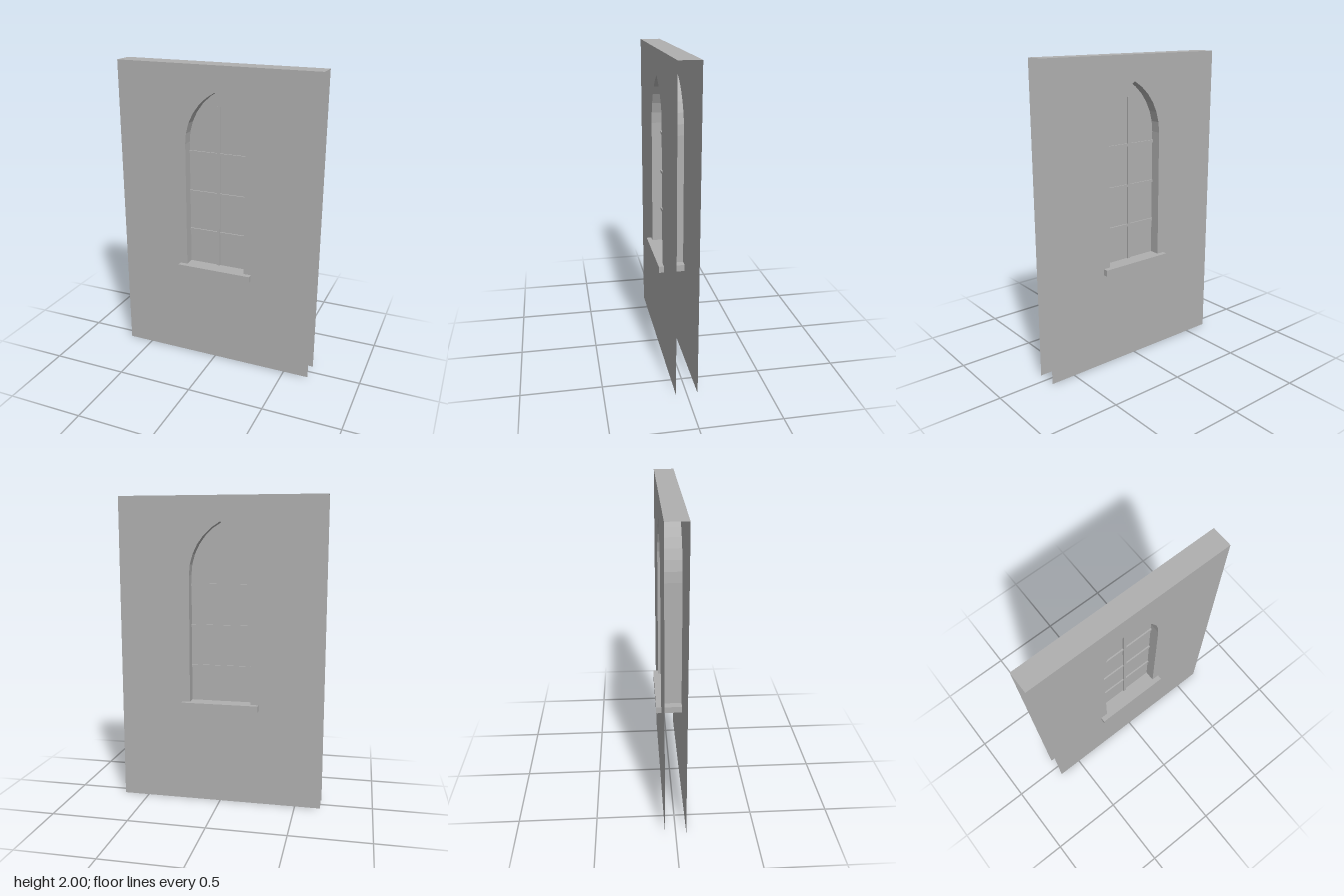
import * as THREE from 'three';

// Main sizes
const W = 0.667, H = 2, D = 0.067;                 // wall half width, height, half depth
const HALF = 0.203, SILL_TOP = 0.67, SPRING = 1.5, APEX = 1.838;

// Outline of the pointed arch: up the right side, over the apex, down the left
function archPoints() {
  const rise = APEX - SPRING;
  const r = (HALF * HALF + rise * rise) / (2 * HALF);
  const sweep = Math.asin(rise / r);
  const steps = 6;
  const right = [new THREE.Vector2(HALF, SILL_TOP)];
  for (let i = 0; i <= steps; i++) {
    const a = (sweep * i) / steps;
    right.push(new THREE.Vector2(HALF - r + r * Math.cos(a), SPRING + r * Math.sin(a)));
  }
  right[right.length - 1].x = 0;
  const left = right.slice(0, -1).reverse().map((p) => new THREE.Vector2(-p.x, p.y));
  return [...right, ...left];
}

// Faceted strip joining the front and back edges of the opening
function revealGeometry(points) {
  const pos = [];
  for (let i = 0; i < points.length - 1; i++) {
    const a = points[i], b = points[i + 1];
    pos.push(a.x, a.y, D, b.x, b.y, -D, a.x, a.y, -D);
    pos.push(a.x, a.y, D, b.x, b.y, D, b.x, b.y, -D);
  }
  const g = new THREE.BufferGeometry();
  g.setAttribute('position', new THREE.Float32BufferAttribute(pos, 3));
  g.computeVertexNormals();
  return g;
}

export function createModel() {
  const model = new THREE.Group();
  model.name = 'archedWindowWall';
  const stone = new THREE.MeshStandardMaterial({ color: 0xb0b0b0, side: THREE.DoubleSide });
  stone.name = 'plain grey';

  const add = (name, geometry, x = 0, y = 0, z = 0) => {
    const mesh = new THREE.Mesh(geometry, stone);
    mesh.name = name;
    mesh.position.set(x, y, z);
    model.add(mesh);
    return mesh;
  };

  const arch = archPoints();

  // Two thin wall faces with the window opening; sides and bottom stay open
  const wall = new THREE.Shape([
    new THREE.Vector2(-W, 0), new THREE.Vector2(W, 0),
    new THREE.Vector2(W, H), new THREE.Vector2(-W, H),
  ]);
  wall.holes.push(new THREE.Path(arch));
  const wallGeometry = new THREE.ShapeGeometry(wall);
  add('frontWall', wallGeometry, 0, 0, D);
  add('backWall', wallGeometry, 0, 0, -D).rotation.y = Math.PI;

  // Cap along the top of the wall
  add('wallTop', new THREE.PlaneGeometry(2 * W, 2 * D).rotateX(-Math.PI / 2), 0, H, 0);

  // Window opening, pane and sill
  add('windowReveal', revealGeometry(arch));
  add('windowPane', new THREE.ShapeGeometry(new THREE.Shape(arch)));
  add('windowSill', new THREE.BoxGeometry(0.506, 0.042, 0.2), 0, 0.65, 0);

  // Glazing bars
  add('verticalBar', new THREE.BoxGeometry(0.02, 1.07, 0.02), 0, 1.205, 0);
  for (let i = 0; i < 3; i++) {
    add('horizontalBar', new THREE.BoxGeometry(2 * HALF, 0.017, 0.018), 0, 0.903 + i * 0.267, 0);
  }
  return model;
}
